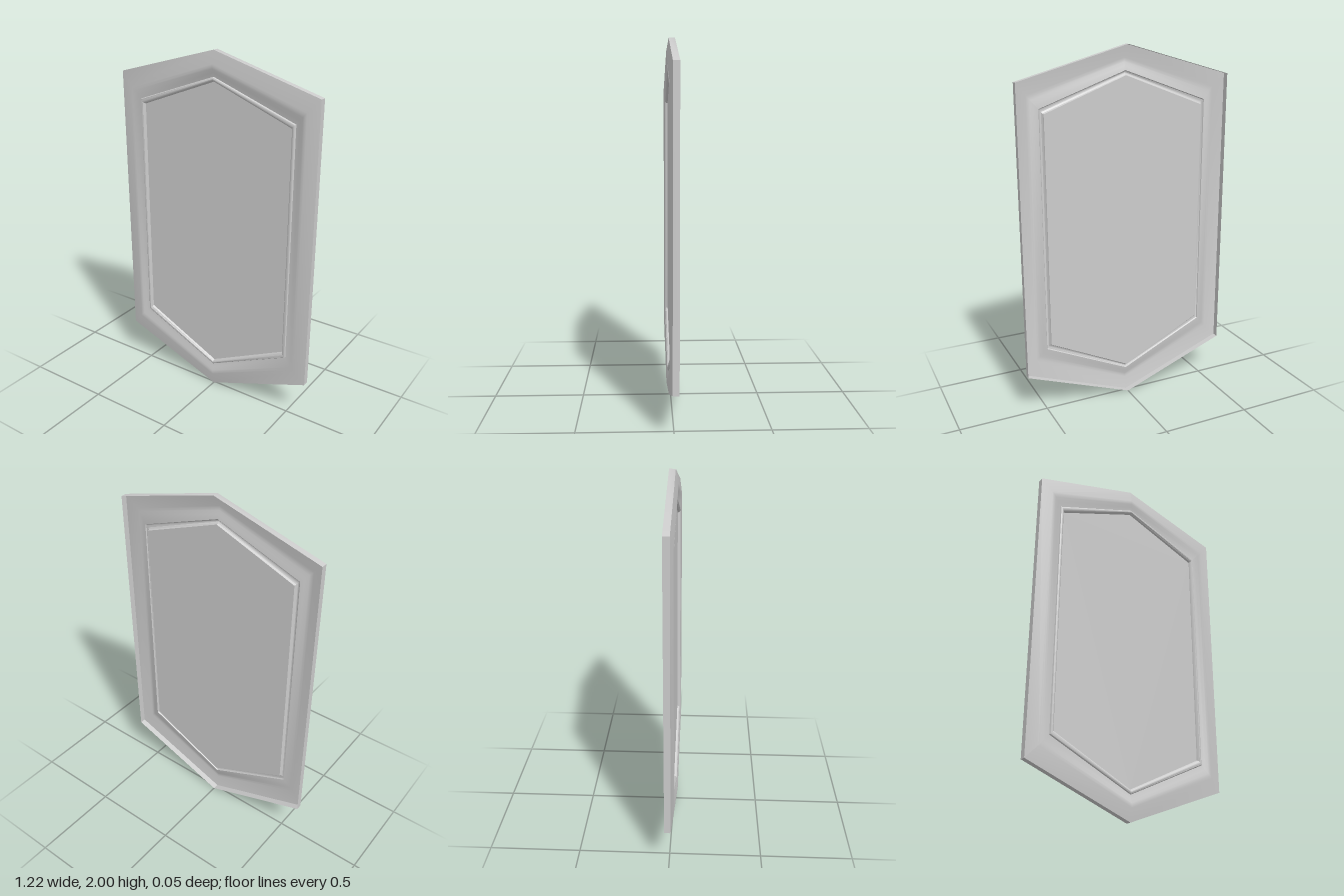
import * as THREE from 'three';
import { toCreasedNormals } from 'three/addons/utils/BufferGeometryUtils.js';

// Hexagon corners, counter-clockwise from the front
const OUTER = [[0, 0], [0.61, 0.23], [0.61, 1.83], [0, 2], [-0.61, 1.83], [-0.61, 0.23]];
const INNER = [[0, 0.165], [0.46, 0.39], [0.46, 1.665], [0, 1.84], [-0.46, 1.665], [-0.46, 0.39]];

// Hexagon between the outer (t = 0) and inner (t = 1) outlines
const hexagon = (t) => OUTER.map(([x, y], i) => [
  x + (INNER[i][0] - x) * t,
  y + (INNER[i][1] - y) * t,
]);

// Sweeps a profile of [t, z] pairs around the hexagon
function sweep(profile) {
  const n = OUTER.length;
  const positions = [];
  const index = [];
  profile.forEach(([t, z]) => hexagon(t).forEach(([x, y]) => positions.push(x, y, z)));
  for (let i = 0; i < profile.length - 1; i++) {
    for (let j = 0; j < n; j++) {
      const a = i * n + j;
      const b = i * n + (j + 1) % n;
      index.push(a, b, b + n, a, b + n, a + n);
    }
  }
  const geometry = new THREE.BufferGeometry();
  geometry.setAttribute('position', new THREE.Float32BufferAttribute(positions, 3));
  geometry.setIndex(index);
  return toCreasedNormals(geometry, 0.55);
}

export function createModel() {
  const group = new THREE.Group();
  group.name = 'hexagonalMirror';
  const material = new THREE.MeshStandardMaterial({ color: 0xcccccc, side: THREE.DoubleSide });

  const add = (name, geometry) => {
    const mesh = new THREE.Mesh(geometry, material);
    mesh.name = name;
    group.add(mesh);
    return mesh;
  };

  // Frame: outer wall, bevel, crest and shallow inner slope, open at the back
  add('frame', sweep([
    [0, -0.024], [0, 0.01], [0.43, 0.023], [0.5, 0.024], [0.58, 0.022], [0.7, 0.015], [0.84, 0.01],
  ]));

  // Raised bead around the glass
  add('innerBead', sweep([
    [0.84, 0.01], [0.86, 0.016], [0.9, 0.019], [0.94, 0.018], [0.98, 0.012], [1, 0.002],
  ]));

  // Flat mirror panel
  const outline = new THREE.Shape(hexagon(1).map(([x, y]) => new THREE.Vector2(x, y)));
  add('mirrorPanel', new THREE.ShapeGeometry(outline)).position.z = 0.002;

  return group;
}
